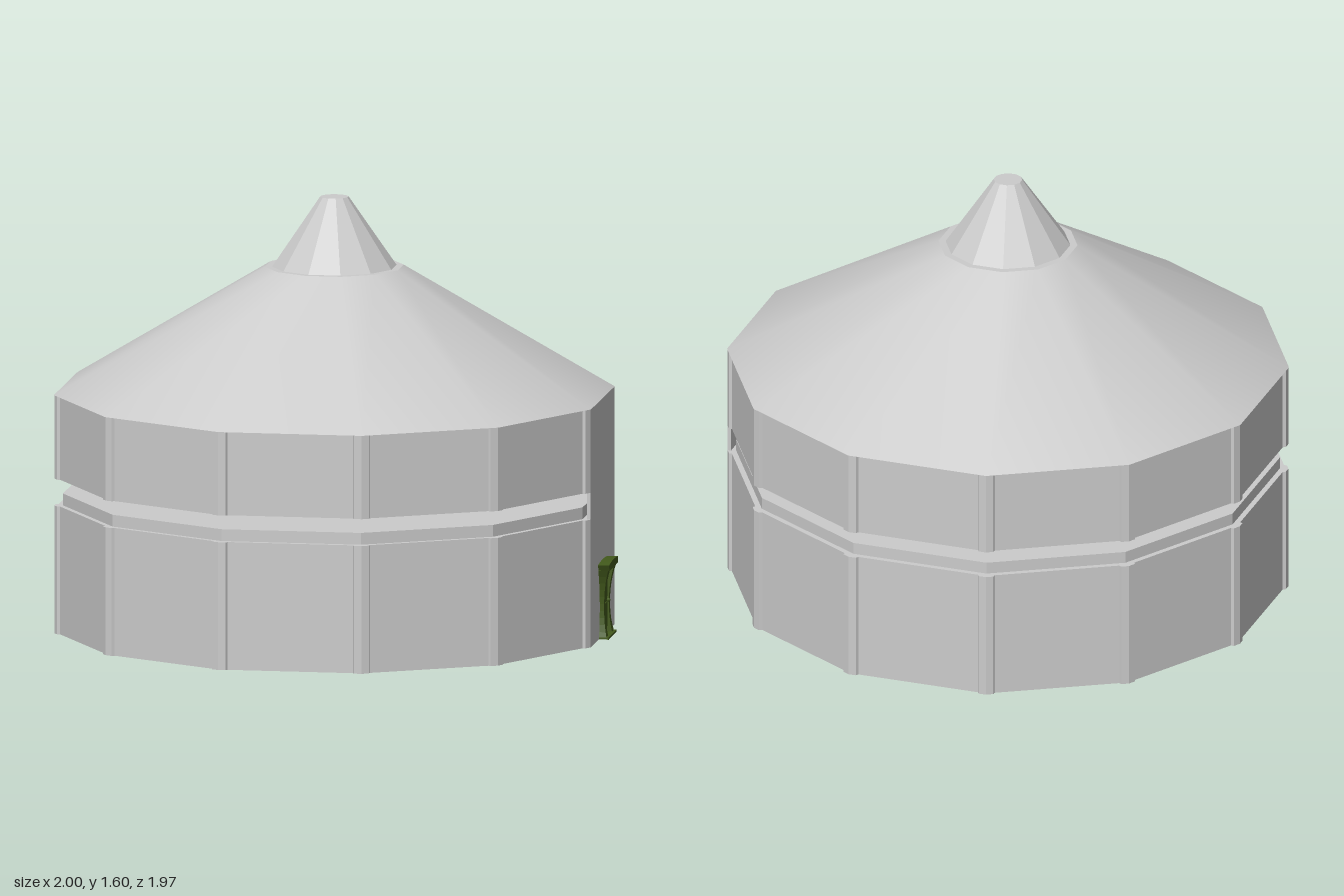
import * as THREE from 'three';

const SIDES = 12;
const STEP = (Math.PI * 2) / SIDES;
const HALF = STEP / 2;
const APOTHEM = 0.98;

const grey = new THREE.MeshStandardMaterial({ color: 0xcccccc, flatShading: true });
const greySmooth = new THREE.MeshStandardMaterial({ color: 0xcccccc });
const green = new THREE.MeshStandardMaterial({ color: 0x435a1c, flatShading: true });

function add(parent, name, geometry, material, x = 0, y = 0, z = 0) {
  const mesh = new THREE.Mesh(geometry, material);
  mesh.name = name;
  mesh.position.set(x, y, z);
  parent.add(mesh);
  return mesh;
}

// Twelve-sided drum or frustum, radii given to the middle of the flats
function drum(parent, name, y0, y1, bottom, top, material = grey) {
  const k = 1 / Math.cos(HALF);
  const g = new THREE.CylinderGeometry(top * k, bottom * k, y1 - y0, SIDES, 1, false, HALF);
  return add(parent, name, g, material, 0, (y0 + y1) / 2, 0);
}

// Chevron post that wraps a wall corner, with bevelled sides
function postGeometry(height) {
  const corner = APOTHEM / Math.cos(HALF);
  const point = (along, inset, side) => [
    corner - along * Math.sin(HALF) - inset * Math.cos(HALF),
    side * (along * Math.cos(HALF) - inset * Math.sin(HALF)),
  ];
  const points = [
    [corner, 0], point(0.028, 0, 1), point(0.036, 0.014, 1),
    [corner - 0.03, 0], point(0.036, 0.014, -1), point(0.028, 0, -1),
  ].map(([x, y]) => new THREE.Vector2(x, y));
  const g = new THREE.ExtrudeGeometry(new THREE.Shape(points), { depth: height, bevelEnabled: false });
  return g.rotateX(-Math.PI / 2);
}

function addPosts(parent, name, y0, y1) {
  const geometry = postGeometry(y1 - y0);
  for (let i = 0; i < SIDES; i++) {
    add(parent, name, geometry, grey, 0, y0, 0).rotation.y = HALF + i * STEP;
  }
}

// Door jamb that flares towards the foot and the head; side is +1 or -1 along z
function jambGeometry(side) {
  const g = new THREE.BoxGeometry(1, 1, 1, 1, 10, 1);
  const p = g.attributes.position;
  for (let i = 0; i < p.count; i++) {
    const t = p.getY(i) + 0.5;
    const flare = Math.pow(Math.abs(t - 0.45) / 0.55, 2.2);
    const outer = 0.07 + flare * (t > 0.45 ? 0.033 : 0.032);
    const front = 0.016 + flare * 0.02;
    p.setXYZ(i,
      p.getX(i) > 0 ? front : -0.005,
      t * 0.255,
      p.getZ(i) * side > 0 ? side * outer : side * 0.045);
  }
  g.computeVertexNormals();
  return g;
}

function createDoor() {
  const door = new THREE.Group();
  door.name = 'door';
  for (const side of [1, -1]) add(door, 'doorJamb', jambGeometry(side), green);
  add(door, 'doorLeaf', new THREE.BoxGeometry(0.014, 0.255, 0.1), green, 0.002, 0.1275, 0);
  add(door, 'upperDoorPanel', new THREE.BoxGeometry(0.004, 0.08, 0.066), green, 0.01, 0.18, 0);
  add(door, 'lowerDoorPanel', new THREE.BoxGeometry(0.004, 0.09, 0.066), green, 0.01, 0.075, 0);
  add(door, 'doorKnob', new THREE.SphereGeometry(0.007, 8, 6), green, 0.015, 0.125, -0.04);
  add(door, 'doorStep', new THREE.BoxGeometry(0.036, 0.008, 0.18), green, 0.018, 0.004, 0);

  // Gently arched cap over the door
  const cap = new THREE.Shape();
  cap.moveTo(-0.098, 0);
  cap.lineTo(0.098, 0);
  cap.lineTo(0.109, 0.022);
  cap.quadraticCurveTo(0, 0.035, -0.109, 0.022);
  const capGeometry = new THREE.ExtrudeGeometry(cap, { depth: 0.045, bevelEnabled: false, curveSegments: 8 });
  add(door, 'doorCap', capGeometry.rotateY(Math.PI / 2), green, -0.005, 0.252, 0);
  return door;
}

export function createModel() {
  const model = new THREE.Group();
  model.name = 'roundHouse';
  const house = new THREE.Group();
  house.name = 'house';
  house.position.x = -0.02;
  house.rotation.y = -0.011;
  model.add(house);

  // Walls, floor ledge and the set-back core seen through the open band
  drum(house, 'lowerWall', 0.02, 0.487, 0.97, 0.97);
  drum(house, 'floorLedge', 0.487, 0.53, 0.95, 0.95);
  drum(house, 'innerCore', 0.53, 0.585, 0.635, 0.635);
  drum(house, 'upperWall', 0.585, 0.89, 0.97, 0.97);
  addPosts(house, 'lowerCornerPost', 0.02, 0.487);
  addPosts(house, 'upperCornerPost', 0.585, 0.89);

  // Full-height entrance panel crossing the open band
  const width = 2 * APOTHEM * Math.tan(HALF);
  add(house, 'entrancePanel', new THREE.BoxGeometry(0.014, 0.87, width), grey, APOTHEM - 0.006, 0.455, 0);

  // Roof and chimney cone
  drum(house, 'roof', 0.89, 1.347, 0.982, 0.243, greySmooth);
  drum(house, 'roofCone', 1.347, 1.6, 0.218, 0.05);

  // Small pegs below the floor
  for (const [x, z] of [[-0.62, 0.33], [0.05, -0.33], [0.75, 0.02], [0.4, 0.3]]) {
    add(house, 'groundPeg', new THREE.BoxGeometry(0.03, 0.02, 0.02), grey, x, 0.01, z);
  }

  const door = createDoor();
  door.position.set(0.96, 0.02, 0.003);
  model.add(door);
  return model;
}
